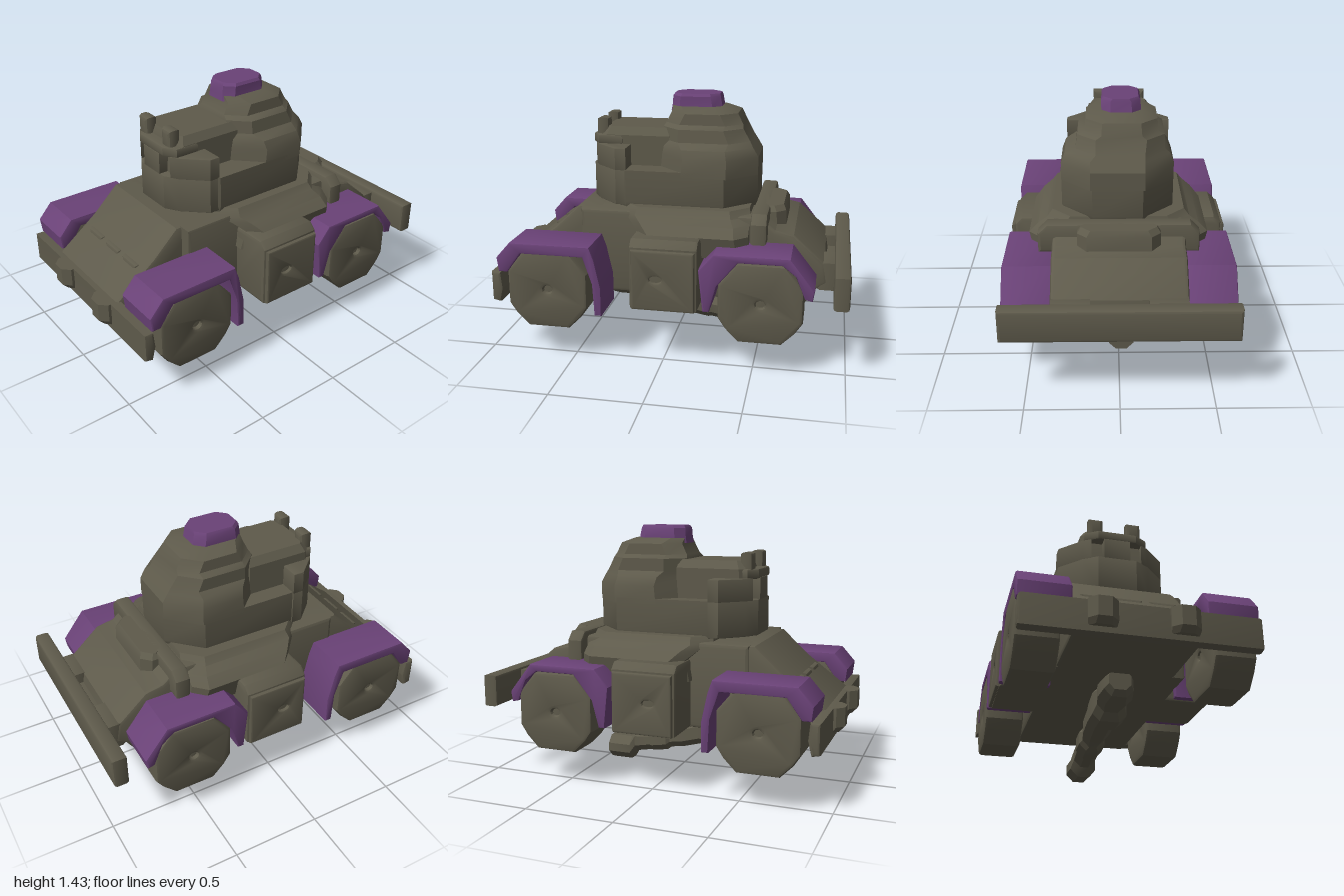
import * as THREE from 'three';
import { toCreasedNormals } from 'three/addons/utils/BufferGeometryUtils.js';

export function createModel() {
  const model = new THREE.Group();
  const olive = new THREE.MeshStandardMaterial({ color: 0x5e5a4b });
  olive.name = 'olive';
  const purple = new THREE.MeshStandardMaterial({ color: 0x6a4277 });
  purple.name = 'purple';

  const add = (name, geo, mat = olive) => {
    const mesh = new THREE.Mesh(toCreasedNormals(geo, 0.5), mat);
    mesh.name = name;
    model.add(mesh);
  };

  // Bevelled extrusion; axis 'x' takes (z, y), 'y' takes (x, -z), 'z' takes (x, y) points
  function slab(axis, pts, from, to, bevel = 0.02, holes = []) {
    const shape = new THREE.Shape(pts.map(p => new THREE.Vector2(...p)));
    for (const [u, v, ru, rv] of holes) {
      shape.holes.push(new THREE.Path().absellipse(u, v, ru, rv, 0, Math.PI * 2, true));
    }
    const geo = new THREE.ExtrudeGeometry(shape, {
      depth: to - from - 2 * bevel, bevelThickness: bevel, bevelSize: bevel,
      bevelOffset: -bevel, bevelSegments: 2, curveSegments: 6,
    });
    geo.translate(0, 0, bevel);
    if (axis === 'x') return geo.rotateY(-Math.PI / 2).translate(to, 0, 0);
    if (axis === 'y') return geo.rotateX(-Math.PI / 2).translate(0, from, 0);
    return geo.translate(0, 0, from);
  }

  const block = (x0, x1, y0, y1, z0, z1, bevel = 0.02) =>
    slab('z', [[x0, y0], [x1, y0], [x1, y1], [x0, y1]], z0, z1, bevel);

  // Skin over chamfered rectangles [w, u0, u1, v0, v1, chamfer] stacked along +z
  function loft(sections) {
    const rings = sections.map(([w, a, b, c, d, k]) => [
      [a + k, c], [b - k, c], [b, c + k], [b, d - k],
      [b - k, d], [a + k, d], [a, d - k], [a, c + k],
    ].map(([u, v]) => [u, v, w]));
    const pos = [];
    const tri = (...p) => p.forEach(q => pos.push(...q));
    for (let s = 0; s < rings.length - 1; s++) {
      for (let i = 0; i < 8; i++) {
        const j = (i + 1) % 8, lo = rings[s], hi = rings[s + 1];
        tri(lo[i], lo[j], hi[j]);
        tri(lo[i], hi[j], hi[i]);
      }
    }
    const first = rings[0], last = rings[rings.length - 1];
    for (let i = 1; i < 7; i++) {
      tri(first[0], first[i + 1], first[i]);
      tri(last[0], last[i], last[i + 1]);
    }
    const geo = new THREE.BufferGeometry();
    geo.setAttribute('position', new THREE.Float32BufferAttribute(pos, 3));
    geo.computeVertexNormals();
    return geo;
  }

  // Upright skin from [y, x0, x1, z0, z1, chamfer]
  const tower = sections => loft(sections.map(([y, x0, x1, z0, z1, k]) =>
    [y, x0, x1, -z1, -z0, k])).rotateX(-Math.PI / 2);

  // Hull
  add('rearHull', slab('x', [[0.5, 0.33], [0.5, 0.81], [-0.5, 0.81], [-0.59, 0.74],
    [-0.69, 0.72], [-0.86, 0.57], [-0.88, 0.46], [-0.82, 0.42], [-0.76, 0.33]], -0.355, 0.355));
  add('frontHull', slab('x', [[0.92, 0.33], [0.92, 0.49], [0.68, 0.67], [0.53, 0.81],
    [0.4, 0.81], [0.4, 0.33]], -0.345, 0.295));
  add('deck', tower([[0.6, -0.46, 0.46, -0.46, 0.18, 0.06], [0.72, -0.49, 0.49, -0.45, 0.16, 0.07],
    [0.77, -0.44, 0.44, -0.45, 0.22, 0.08], [0.8, -0.39, 0.39, -0.45, 0.28, 0.1],
    [0.84, -0.36, 0.36, -0.44, 0.27, 0.1]]));
  add('rearRidge', slab('z', [[-0.43, 0.68], [0.43, 0.68], [0.43, 0.79],
    [0.38, 0.84], [-0.38, 0.84], [-0.43, 0.79]], -0.55, -0.46, 0.015));
  add('rearRidgeStep', tower([[0.7, -0.22, 0.22, -0.64, -0.5, 0.05],
    [0.81, -0.22, 0.22, -0.635, -0.5, 0.05], [0.84, -0.2, 0.2, -0.62, -0.5, 0.05]]));
  for (const x of [-0.2, -0.02, 0.16]) {
    add('noseRib', block(x - 0.07, x + 0.07, 0.56, 0.63, 0.69, 0.76));
  }

  // Bumpers
  add('frontBumper', slab('x', [[0.945, 0.33], [0.945, 0.495], [0.89, 0.495], [0.88, 0.4],
    [0.9, 0.32]], -0.61, 0.61, 0.015));
  add('rearBumper', block(-0.61, 0.61, 0.41, 0.59, -1, -0.915, 0.015));
  add('rearBracketFloor', block(-0.2, 0.2, 0.42, 0.51, -0.95, -0.82));
  for (const s of [-1, 1]) {
    add('bumperPad', tower([[0.36, s * 0.205 - 0.07, s * 0.205 + 0.07, 0.86, 0.97, 0.03],
      [0.39, s * 0.205 - 0.075, s * 0.205 + 0.075, 0.86, 1, 0.04],
      [0.495, s * 0.205 - 0.075, s * 0.205 + 0.075, 0.86, 1, 0.04]]));
    add('rearBracket', block(s * 0.25 - 0.1, s * 0.25 + 0.1, 0.42, 0.575, -0.95, -0.82));
  }

  // Wheels, fenders and side boxes
  const wheelShape = (cz, cy) => [[-0.115, -0.22], [0.115, -0.22], [0.185, -0.15], [0.225, -0.09],
    [0.225, 0.1], [0.125, 0.22], [-0.125, 0.22], [-0.225, 0.1], [-0.225, -0.09],
    [-0.185, -0.15]].map(([z, y]) => [cz + z, cy + y]);
  const frontFender = [[0.32, 0.28], [0.36, 0.28], [0.37, 0.46], [0.42, 0.61], [0.77, 0.61],
    [0.85, 0.5], [0.9, 0.5], [0.91, 0.58], [0.83, 0.67], [0.38, 0.67], [0.355, 0.6], [0.32, 0.44]];
  const rearFender = [[-0.27, 0.35], [-0.31, 0.5], [-0.42, 0.635], [-0.65, 0.635], [-0.72, 0.58],
    [-0.77, 0.46], [-0.81, 0.45], [-0.82, 0.51], [-0.69, 0.675], [-0.29, 0.675], [-0.21, 0.58], [-0.235, 0.35]];
  for (const s of [-1, 1]) {
    const span = (a, b) => (s > 0 ? [a, b] : [-b, -a]);
    for (const [name, z] of [['frontWheel', 0.625], ['rearWheel', -0.54]]) {
      add(name, slab('x', wheelShape(z, 0.41), ...span(0.385, 0.61), 0.02, [[z, 0.41, 0.025, 0.02]]));
      const [x0, x1] = span(0.4, 0.585);
      add(name + 'Hub', block(x0, x1, 0.36, 0.46, z - 0.06, z + 0.06, 0.005));
    }
    add('frontFender', slab('x', frontFender, ...span(0.342, 0.612), 0.01), purple);
    add('rearFender', slab('x', rearFender, ...span(0.342, 0.612), 0.01), purple);
    add('sideBox', slab('z', [[s * 0.3, 0.33], [s * 0.59, 0.33], [s * 0.59, 0.68],
      [s * 0.55, 0.72], [s * 0.3, 0.72]], -0.205, 0.17));
    add('sideBoxPlate', slab('x', [[-0.19, 0.335], [0.155, 0.335], [0.155, 0.67], [-0.19, 0.67]],
      ...span(0.57, 0.61), 0.012, [[0.02, 0.51, 0.035, 0.02]]));
  }

  // Turret
  add('turretBase', tower([[0.82, -0.29, 0.3, -0.46, 0.42, 0.17], [0.85, -0.3, 0.31, -0.47, 0.42, 0.17],
    [1.03, -0.3, 0.31, -0.47, 0.42, 0.17]]));
  add('turretDome', tower([[1.0, -0.3, 0.31, -0.47, 0.1, 0.16], [1.1, -0.3, 0.31, -0.47, 0.09, 0.16],
    [1.15, -0.28, 0.29, -0.44, 0.08, 0.14], [1.18, -0.25, 0.23, -0.42, 0.08, 0.11],
    [1.25, -0.25, 0.22, -0.38, 0.07, 0.1], [1.27, -0.215, 0.18, -0.375, 0.06, 0.09],
    [1.33, -0.21, 0.175, -0.345, 0.03, 0.09], [1.36, -0.14, 0.11, -0.27, 0.03, 0.06]]));
  add('turretSpine', tower([[1.0, -0.2, 0.17, 0, 0.43, 0.03], [1.2, -0.2, 0.17, 0, 0.42, 0.03],
    [1.245, -0.17, 0.14, 0, 0.4, 0.03]]));

  // Turret front in three mirrored layers, the middle one notched for the eye slots
  const layer = (name, half, y0, y1, bevel) => add(name, slab('y', [
    ...half.map(([x, z]) => [x, -z]),
    ...half.map(([x, z]) => [-x, -z]).reverse(),
  ], y0, y1, bevel).translate(-0.005, 0, 0));
  const cheek = [[0.19, 0.43], [0.305, 0.31], [0.305, 0.25]];
  layer('turretFace', [[0.11, 0.48], ...cheek], 0.83, 1.03, 0.004);
  layer('turretEyeBand', [[0.075, 0.48], [0.075, 0.39], [0.145, 0.39], [0.145, 0.458], ...cheek],
    1.024, 1.15, 0.004);
  layer('turretBrow', [[0.11, 0.48], [0.18, 0.435], [0.18, 0.3]], 1.144, 1.2, 0.012);
  for (const x of [-0.122, 0.098]) {
    add('prong', block(x - 0.042, x + 0.042, 1.17, 1.29, 0.385, 0.455));
  }
  add('hatch', tower([[1.33, -0.125, 0.095, -0.26, 0.04, 0.05], [1.36, -0.125, 0.09, -0.25, 0.035, 0.05],
    [1.415, -0.12, 0.09, -0.24, 0.03, 0.05], [1.43, -0.11, 0.08, -0.235, 0.02, 0.05]]), purple);

  // Ribbed pipe under the hull
  add('underPipe', loft([[-0.47, -0.085, 0.055, 0.005, 0.135, 0.04], [-0.45, -0.09, 0.06, 0, 0.14, 0.045],
    [-0.33, -0.09, 0.06, 0, 0.14, 0.045], [-0.3, -0.075, 0.05, 0.05, 0.19, 0.04],
    [-0.2, -0.08, 0.05, 0.07, 0.2, 0.04], [-0.18, -0.09, 0.06, 0.07, 0.22, 0.04],
    [-0.09, -0.09, 0.06, 0.085, 0.235, 0.04], [-0.07, -0.075, 0.045, 0.1, 0.23, 0.04],
    [0.01, -0.09, 0.06, 0.115, 0.265, 0.04], [0.12, -0.09, 0.07, 0.145, 0.3, 0.04],
    [0.14, -0.09, 0.1, 0.145, 0.32, 0.04], [0.24, -0.09, 0.1, 0.15, 0.35, 0.04],
    [0.28, -0.075, 0.08, 0.19, 0.35, 0.04], [0.36, -0.09, 0.1, 0.2, 0.35, 0.04],
    [0.46, -0.08, 0.08, 0.21, 0.35, 0.04], [0.49, -0.06, 0.06, 0.24, 0.35, 0.03]]));

  return model;
}
